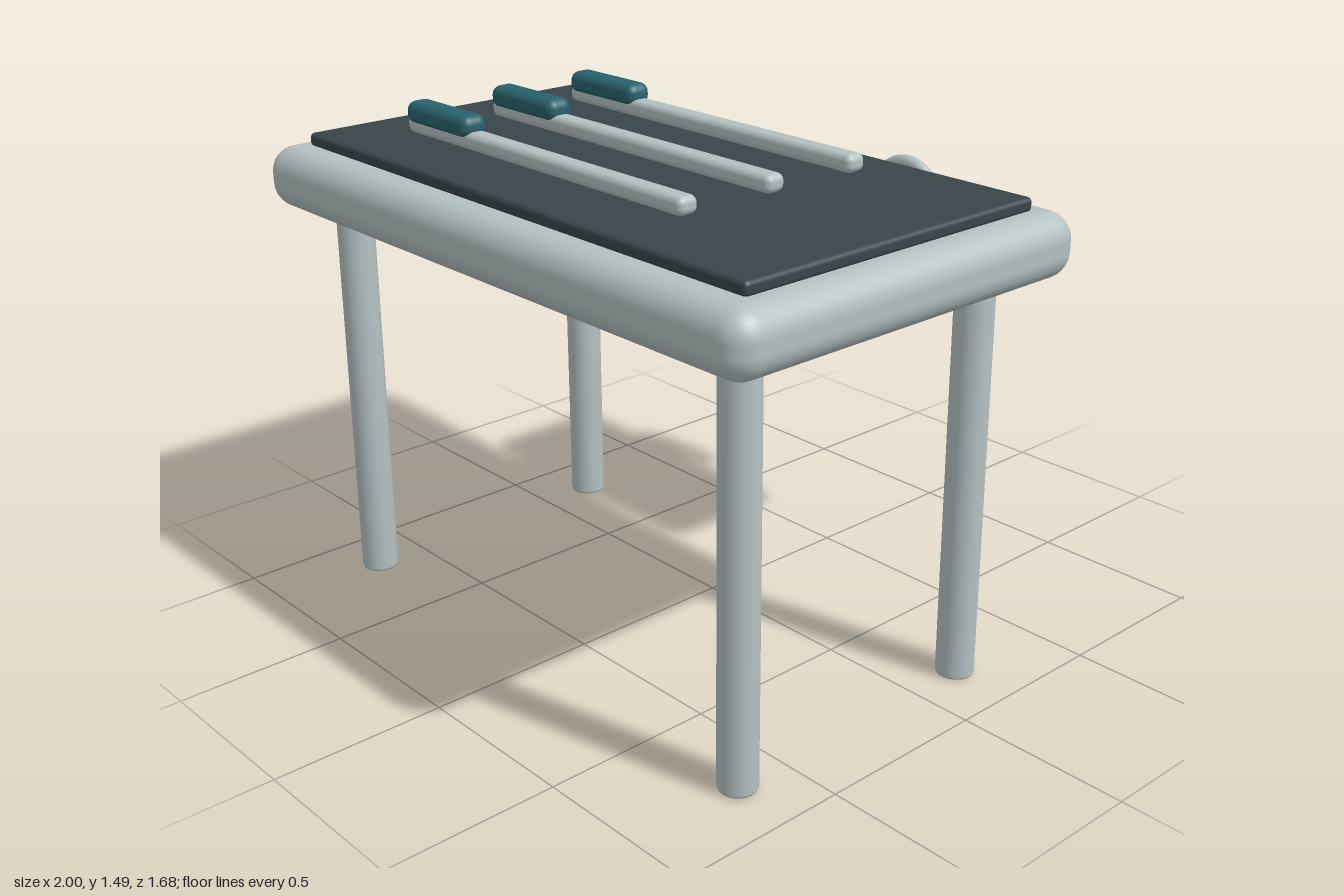
import * as THREE from 'three';
import { RoundedBoxGeometry } from 'three/addons/geometries/RoundedBoxGeometry.js';

const paleGrey = new THREE.MeshStandardMaterial({ color: 0xb4c0c1 });
paleGrey.name = 'pale grey';
const slate = new THREE.MeshStandardMaterial({ color: 0x39454a });
slate.name = 'slate';
const teal = new THREE.MeshStandardMaterial({ color: 0x29626c });
teal.name = 'teal';

export function createModel() {
  const model = new THREE.Group();
  model.name = 'instrumentTable';

  const add = (name, geometry, material, x, y, z) => {
    const mesh = new THREE.Mesh(geometry, material);
    mesh.name = name;
    mesh.position.set(x, y, z);
    model.add(mesh);
    return mesh;
  };
  // Rounded box given by its minimum and maximum corners
  const block = (name, material, [x0, y0, z0], [x1, y1, z1], radius) =>
    add(name, new RoundedBoxGeometry(x1 - x0, y1 - y0, z1 - z0, 5, radius), material,
      (x0 + x1) / 2, (y0 + y1) / 2, (z0 + z1) / 2);

  // Table top and dark work mat
  block('tableTop', paleGrey, [-1, 1.16, -0.36], [1, 1.34, 0.84], 0.075);
  block('workMat', slate, [-0.91, 1.335, -0.265], [0.91, 1.375, 0.735], 0.014);

  // Round legs with a slightly eased foot
  const legProfile = [[0, 0], [0.044, 0], [0.051, 0.003], [0.054, 0.01], [0.054, 1.2], [0, 1.2]]
    .map(([r, y]) => new THREE.Vector2(r, y));
  const legGeometry = new THREE.LatheGeometry(legProfile, 32);
  for (const x of [-0.815, 0.815]) {
    for (const z of [-0.17, 0.66]) add('leg', legGeometry, paleGrey, x, 0, z);
  }

  // Rear tray and its ring
  block('rearTray', paleGrey, [-0.475, 0.96, -0.775], [0.475, 1.08, -0.345], 0.05);
  add('rearRing', new THREE.TorusGeometry(0.122, 0.021, 16, 48), paleGrey, 0, 1.067, -0.82);

  // Three tools: a slim bar with a grip at one end
  for (const z of [-0.05, 0.241, 0.533]) {
    block('toolBar', paleGrey, [-0.66, 1.394, z - 0.032], [0.503, 1.444, z + 0.032], 0.02);
    block('toolGrip', teal, [-0.655, 1.422, z - 0.041], [-0.363, 1.487, z + 0.041], 0.028);
  }

  return model;
}
